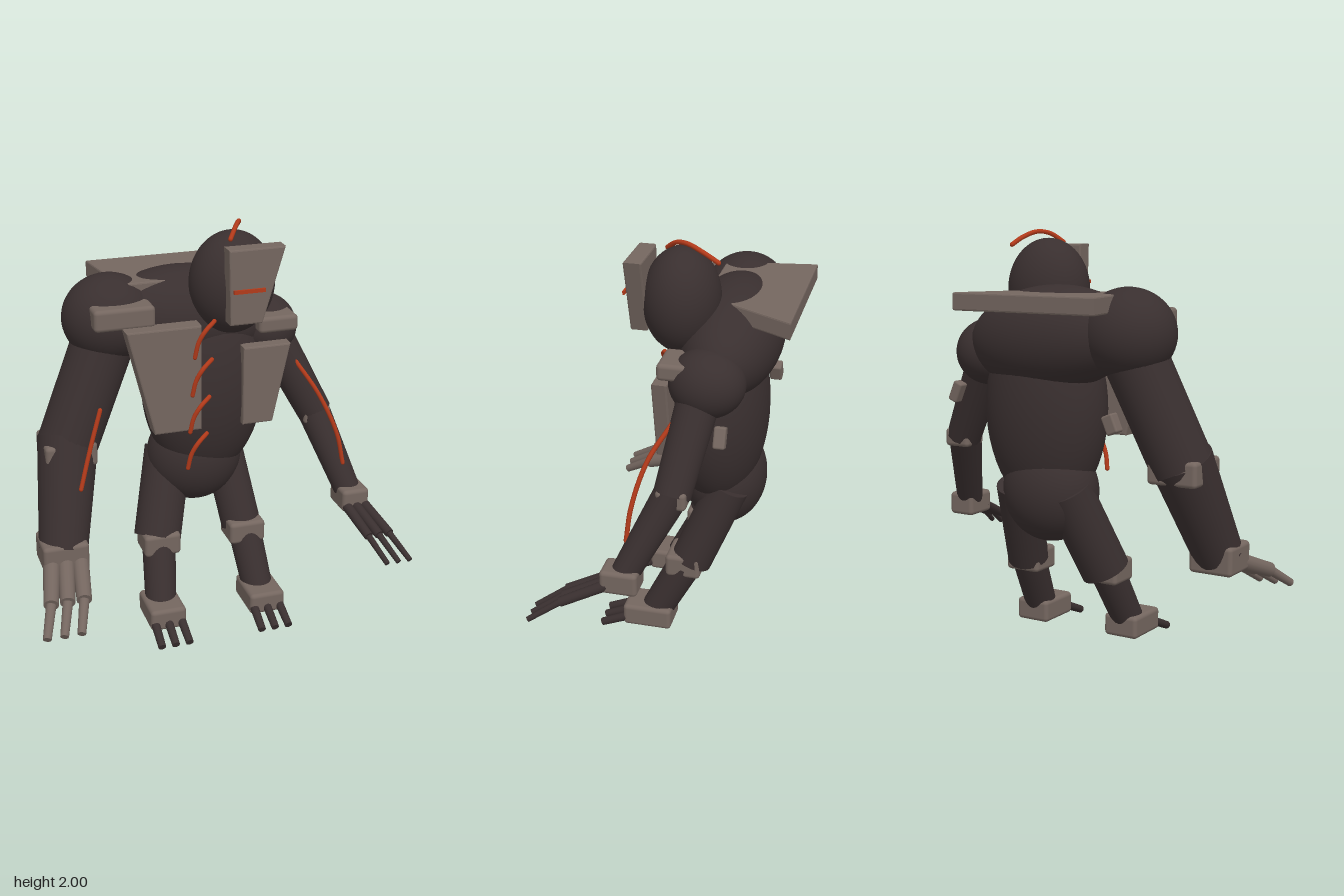
import * as THREE from 'three';
import { RoundedBoxGeometry } from 'three/addons/geometries/RoundedBoxGeometry.js';

const V = (p) => new THREE.Vector3(...p);

export function createModel() {
  const root = new THREE.Group();
  const material = (name, color) => {
    const m = new THREE.MeshStandardMaterial({ color });
    m.name = name;
    return m;
  };
  const dark = material('dark hide', 0x392f2f);
  const armour = material('grey armour', 0x74665f);
  const red = material('red cable', 0xb23a1a);

  function add(name, geometry, mat, pos = [0, 0, 0], parent = root) {
    const mesh = new THREE.Mesh(geometry, mat);
    mesh.name = name;
    mesh.position.set(...pos);
    parent.add(mesh);
    return mesh;
  }

  // Ellipsoid body mass
  function mass(name, pos, radii) {
    const g = new THREE.SphereGeometry(1, 40, 28);
    g.scale(...radii);
    return add(name, g, dark, pos);
  }

  // Limb segment running from a to b
  function limb(name, a, b, ra, rb, mat = dark, parent = root, sides = 28) {
    const from = V(a), dir = V(b).sub(from);
    const g = new THREE.CylinderGeometry(rb, ra, dir.length(), sides);
    const mesh = add(name, g, mat, [0, 0, 0], parent);
    mesh.position.copy(from).addScaledVector(dir, 0.5);
    mesh.quaternion.setFromUnitVectors(new THREE.Vector3(0, 1, 0), dir.normalize());
    return mesh;
  }

  // Rounded armour block
  function block(name, pos, size, r = 0.02) {
    return add(name, new RoundedBoxGeometry(...size, 3, r), armour, pos);
  }

  // Bevelled plate from an outline, from depth z0 to z1
  function plate(name, outline, z0, z1) {
    const bevel = 0.008;
    const shape = new THREE.Shape(outline.map((p) => new THREE.Vector2(...p)));
    const g = new THREE.ExtrudeGeometry(shape, {
      depth: z1 - z0 - 2 * bevel, bevelThickness: bevel, bevelSize: bevel,
      bevelOffset: -bevel, bevelSegments: 2,
    });
    return add(name, g, armour, [0, 0, z0 + bevel]);
  }

  // Exposed cable
  function cable(name, points, r = 0.011) {
    const curve = new THREE.CatmullRomCurve3(points.map(V));
    add(name, new THREE.TubeGeometry(curve, 24, r, 8), red);
    for (const t of [0, 1]) add(name + 'End', new THREE.SphereGeometry(r, 8, 6), red, curve.getPoint(t).toArray());
  }

  // Body
  mass('torso', [0.07, 1.17, -0.175], [0.31, 0.5, 0.235]);
  mass('pelvis', [0.03, 0.78, -0.2], [0.24, 0.245, 0.2]);
  mass('upperBack', [0.01, 1.505, -0.22], [0.43, 0.245, 0.24]).rotation.z = -0.1;
  mass('head', [0.16, 1.715, -0.015], [0.205, 0.245, 0.178]);
  mass('rightShoulder', [-0.39, 1.54, -0.2], [0.225, 0.21, 0.21]);
  mass('leftShoulder', [0.385, 1.42, -0.185], [0.16, 0.16, 0.175]);

  // Armour
  plate('facePlate', [[0.07, 1.93], [0.08, 1.575], [0.235, 1.575], [0.34, 1.93]], 0.125, 0.208);
  plate('rightChestPlate', [[-0.385, 1.555], [-0.255, 1.035], [-0.025, 1.035], [-0.025, 1.555]], 0.01, 0.105);
  plate('leftChestPlate', [[0.197, 1.405], [0.197, 1.01], [0.35, 1.01], [0.435, 1.405]], -0.01, 0.062);
  const backPlate = plate('backPlate', [[-0.415, 0.54], [-0.35, 0.11], [0.11, 0.11], [0.34, 0.54]], 0, 0.083);
  backPlate.rotation.x = -Math.PI / 2;
  backPlate.position.set(0, 1.645, 0);
  block('rightShoulderPad', [-0.37, 1.598, -0.05], [0.29, 0.105, 0.18]);
  block('leftShoulderPad', [0.388, 1.49, -0.06], [0.197, 0.08, 0.17]);
  block('rightArmStud', [-0.4, 1.15, -0.36], [0.06, 0.09, 0.06], 0.01).rotation.z = -0.4;
  block('leftArmStud', [0.52, 1.225, -0.275], [0.05, 0.1, 0.055], 0.01).rotation.z = 0.4;

  // Arms
  limb('rightUpperArm', [-0.39, 1.5, -0.2], [-0.635, 0.935, -0.12], 0.15, 0.147);
  limb('rightForearm', [-0.625, 0.98, -0.13], [-0.715, 0.5, 0.09], 0.148, 0.118);
  block('rightElbow', [-0.635, 0.93, -0.12], [0.25, 0.12, 0.25]);
  block('rightHand', [-0.72, 0.495, 0.09], [0.22, 0.14, 0.21]);
  limb('leftUpperArm', [0.4, 1.42, -0.17], [0.63, 0.97, -0.085], 0.1, 0.086);
  limb('leftForearm', [0.62, 0.99, -0.09], [0.745, 0.6, 0.11], 0.083, 0.065);
  block('leftElbow', [0.625, 0.97, -0.09], [0.14, 0.09, 0.14]);
  block('leftHand', [0.75, 0.583, 0.122], [0.14, 0.115, 0.175]);

  // Fingers: a thick segment, then a thin tip
  for (let i = -1; i <= 1; i++) {
    const rightFinger = new THREE.Group(), leftFinger = new THREE.Group();
    rightFinger.name = 'rightFinger';
    leftFinger.name = 'leftFinger';
    root.add(rightFinger, leftFinger);
    const rMid = [-0.765 + i * 0.078, 0.38, 0.385];
    limb('fingerBase', [-0.72 + i * 0.07, 0.465, 0.16], rMid, 0.04, 0.036, armour, rightFinger, 14);
    limb('fingerTip', rMid, [-0.815 + i * 0.08, 0.29, 0.525], 0.024, 0.02, armour, rightFinger, 12);
    const lMid = [0.8 + i * 0.055, 0.475, 0.385];
    limb('fingerBase', [0.75 + i * 0.045, 0.56, 0.18], lMid, 0.026, 0.023, dark, leftFinger, 14);
    limb('fingerTip', lMid, [0.845 + i * 0.06, 0.39, 0.525], 0.016, 0.013, dark, leftFinger, 12);
  }

  // Legs, feet and toes
  const legs = [
    { side: 'right', hip: -0.09, knee: -0.2, foot: -0.235, r: 0.118 },
    { side: 'left', hip: 0.19, knee: 0.245, foot: 0.28, r: 0.1 },
  ];
  for (const { side, hip, knee, foot, r } of legs) {
    limb(side + 'Thigh', [hip, 0.8, -0.25], [knee, 0.395, -0.08], r, r);
    block(side + 'Knee', [knee, 0.393, -0.055], [0.185, 0.115, 0.17]);
    limb(side + 'Shin', [knee + 0.005, 0.42, -0.08], [foot, 0.1, 0.09], 0.085, 0.077);
    block(side + 'Foot', [foot, 0.095, 0.118], [0.18, 0.11, 0.24]);
    for (let i = -1; i <= 1; i++) {
      limb(side + 'Toe', [foot + i * 0.066, 0.085, 0.2], [foot + i * 0.07, 0.022, 0.35], 0.022, 0.019, dark, root, 14);
    }
  }

  // Visor slit and exposed cables
  add('visor', new THREE.BoxGeometry(0.15, 0.018, 0.01), red, [0.157, 1.745, 0.238]);
  cable('headCable', [[0.125, 1.94, 0.06], [0.165, 1.98, 0.01], [0.2, 1.99, -0.05], [0.23, 1.965, -0.13], [0.245, 1.93, -0.2]]);
  for (let i = 0; i < 4; i++) {
    const x = -0.012 * i, y = -0.187 * i;
    cable('chestCable', [
      [0.035 + x, 1.572 + y, 0.105], [-0.015 + x, 1.535 + y, 0.125],
      [-0.045 + x, 1.48 + y, 0.118], [-0.06 + x, 1.405 + y, 0.108],
    ]);
  }
  cable('rightArmCable', [[-0.5, 1.165, 0.03], [-0.56, 0.99, 0.06], [-0.62, 0.805, 0.1]]);
  cable('leftArmCable', [[0.505, 1.27, -0.06], [0.6, 1.11, 0.035], [0.68, 0.915, 0.09], [0.712, 0.755, 0.108]]);

  return root;
}
